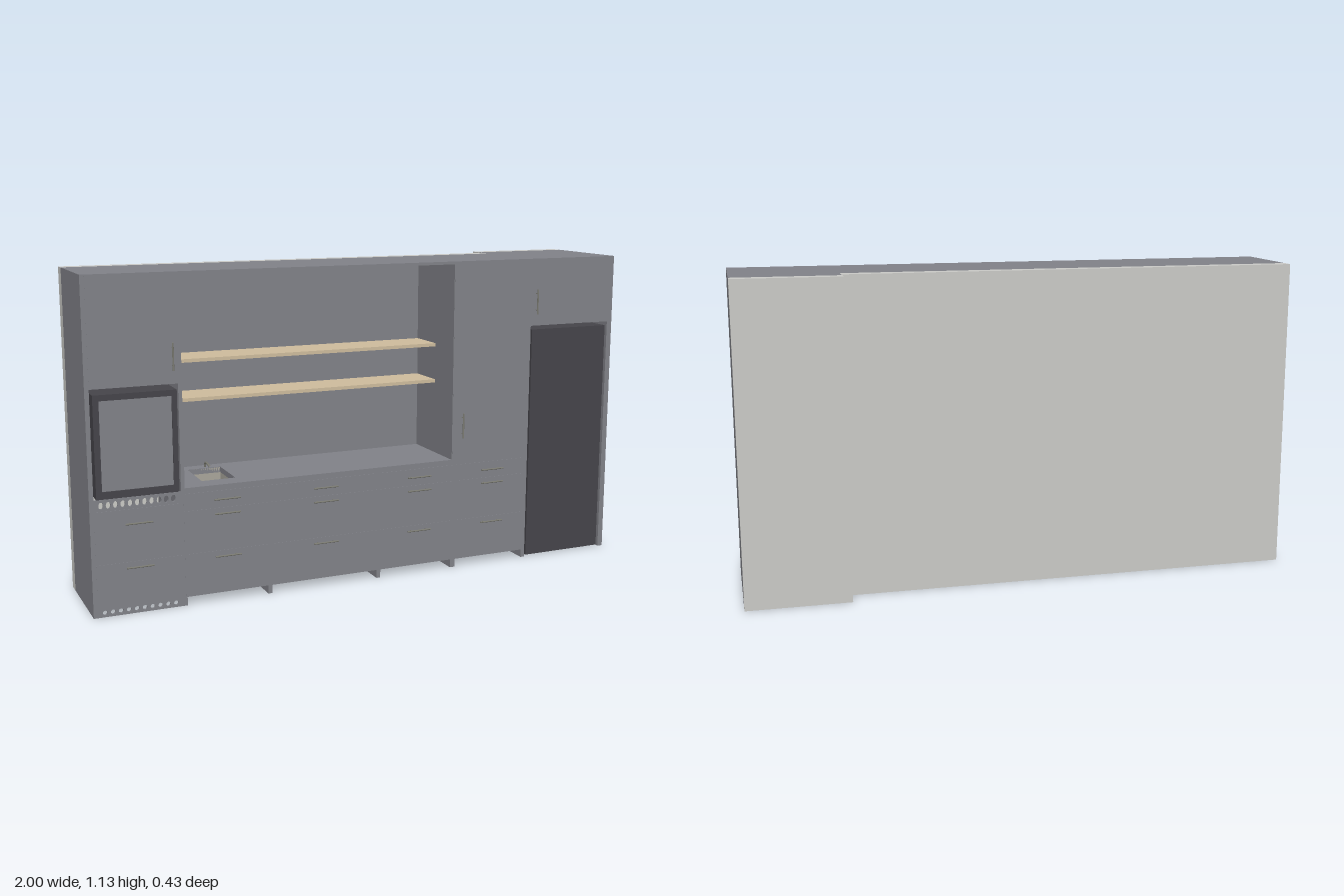
import * as THREE from 'three';

const mat = (name, color) => {
  const m = new THREE.MeshStandardMaterial({ color });
  m.name = name;
  return m;
};

export function createModel() {
  const model = new THREE.Group();
  model.name = 'kitchenWallUnit';
  const gray = mat('cabinet gray', 0x808187);
  const wall = mat('wall white', 0xc9c9c5);
  const dark = mat('appliance dark', 0x454449);
  const wood = mat('shelf wood', 0xcdbb9c);
  const metal = mat('handle metal', 0x7b7b72);
  const steel = mat('sink steel', 0xa8a59a);

  const add = (name, geo, material) => {
    const mesh = new THREE.Mesh(geo, material);
    mesh.name = name;
    model.add(mesh);
    return mesh;
  };
  // box given by its bounds
  const box = (name, m, x0, x1, y0, y1, z0, z1) =>
    add(name, new THREE.BoxGeometry(x1 - x0, y1 - y0, z1 - z0), m)
      .position.set((x0 + x1) / 2, (y0 + y1) / 2, (z0 + z1) / 2);
  const rect = (x0, x1, y0, y1, Type = THREE.Shape) => new Type([
    new THREE.Vector2(x0, y0), new THREE.Vector2(x1, y0),
    new THREE.Vector2(x1, y1), new THREE.Vector2(x0, y1)]);
  const plate = (shape, depth) =>
    new THREE.ExtrudeGeometry(shape, { depth, bevelEnabled: false, curveSegments: 6 });

  const H = 1.13, F = 0.2, B = -0.1, TB = -0.17;

  // walls behind the low and the deep section
  box('backWall', wall, -1, 0.63, 0, H, B - 0.045, B);
  box('deepBackWall', wall, 0.63, 1, 0, H, TB - 0.045, TB);

  // outer sides, top and tall dividers
  box('rightEndPanel', gray, -1, -0.985, 0, H, B, F);
  box('leftEndPanel', gray, 0.98, 1, 0, H, TB, F);
  box('topPanel', gray, -0.985, 0.63, 1.12, H, B, F);
  box('fridgeTopPanel', gray, 0.63, 0.98, 1.12, H, TB, F);
  box('ovenDivider', gray, -0.693, -0.68, 0, 1.12, B, F);
  box('nicheDivider', gray, 0.325, 0.345, 0, 1.12, B, F);
  box('fridgeDivider', gray, 0.63, 0.645, 0, 1.12, B, F);
  box('fridgeRearDivider', gray, 0.63, 0.645, 0.885, 1.12, TB, B);

  // niche: back panel, worktop with sink cutout, shelves
  box('nicheBack', gray, -0.68, 0.63, 0, 1.12, B, -0.085);
  const top = rect(-0.68, 0.325, -0.085, F);
  top.holes.push(rect(-0.6, -0.48, -0.04, 0.13, THREE.Path));
  const topGeo = plate(top, 0.02);
  topGeo.rotateX(Math.PI / 2);
  topGeo.translate(0, 0.41, 0);
  add('worktop', topGeo, gray);
  for (const y of [0.674, 0.809]) box('shelf', wood, -0.68, 0.325, y, y + 0.012, -0.085, 0.06);

  // sink basin and low tap
  box('sinkBottom', steel, -0.605, -0.475, 0.33, 0.335, -0.045, 0.135);
  for (const x of [-0.605, -0.48]) box('sinkSide', steel, x, x + 0.005, 0.335, 0.408, -0.045, 0.135);
  for (const z of [-0.045, 0.13]) box('sinkEnd', steel, -0.6, -0.48, 0.335, 0.408, z, z + 0.005);
  const spout = new THREE.CatmullRomCurve3([
    new THREE.Vector3(-0.53, 0.41, -0.06), new THREE.Vector3(-0.53, 0.426, -0.055),
    new THREE.Vector3(-0.53, 0.428, -0.03), new THREE.Vector3(-0.53, 0.422, 0)]);
  add('tap', new THREE.TubeGeometry(spout, 12, 0.004, 8), metal);

  // base units: dividers reaching the floor, drawer fronts, drawer boxes
  for (const x of [-0.39, 0.025]) box('baseDivider', gray, x, x + 0.015, 0, 0.39, -0.085, F);
  const columns = [[-0.985, -0.693], [-0.685, -0.3825], [-0.3825, 0.0325], [0.0325, 0.335], [0.335, 0.6375]];
  columns.forEach(([x0, x1], i) => {
    const rows = i ? [0.03, 0.18, 0.33, 0.39] : [0.03, 0.18, 0.36];
    for (let r = 0; r + 1 < rows.length; r++)
      box('drawerFront', gray, x0, x1, rows[r], rows[r + 1] - 0.0005, F - 0.012, F + 0.0003);
    const a = x0 + 0.025, b = x1 - 0.025;
    box('drawerBottom', gray, a, b, 0.055, 0.06, -0.06, 0.17);
    for (const x of [a, b - 0.01]) box('drawerSide', wood, x, x + 0.01, 0.035, 0.13, -0.06, 0.17);
    for (const z of [-0.06, 0.16]) box('drawerEnd', wood, a + 0.01, b - 0.01, 0.035, 0.13, z, z + 0.01);
  });

  // oven bay: toe grille, vent strip, oven and the door above
  const grille = (name, y0, y1, count, w, h) => {
    const s = rect(-0.985, -0.693, y0, y1);
    const cy = (y0 + y1) / 2;
    for (let i = 0; i < count; i++) {
      const hole = new THREE.Path();
      hole.absellipse(-0.962 + i * 0.242 / (count - 1), cy, w, h, 0, Math.PI * 2, true);
      s.holes.push(hole);
    }
    add(name, plate(s, 0.008), gray).position.z = F - 0.008;
  };
  grille('toeGrille', 0, 0.03, 10, 0.008, 0.008);
  grille('ovenVent', 0.36, 0.4, 11, 0.008, 0.012);
  box('ovenBody', dark, -0.975, -0.697, 0.4, 0.745, -0.09, 0.185);
  const frame = rect(-0.975, -0.697, 0.4, 0.745);
  frame.holes.push(rect(-0.955, -0.715, 0.425, 0.725, THREE.Path));
  add('ovenFrame', plate(frame, 0.012), dark).position.z = 0.185;
  box('ovenWindow', gray, -0.955, -0.715, 0.425, 0.725, 0.185, 0.194);
  box('ovenCabinetFloor', gray, -0.985, -0.693, 0.765, 0.775, B, 0.188);
  box('ovenCabinetDoor', gray, -0.985, -0.68, 0.765, H, 0.188, F + 0.0003);

  // tall cabinet beside the niche
  box('tallCabinetFloor', gray, 0.345, 0.63, 0.39, 0.41, -0.085, 0.188);
  box('tallCabinetDoor', gray, 0.327, 0.6375, 0.39, H, 0.188, F + 0.0003);

  // fridge bay
  box('fridge', dark, 0.655, 0.975, 0.004, 0.87, -0.16, 0.194);
  box('fridgeCabinetFloor', gray, 0.645, 0.98, 0.885, 0.895, TB, 0.188);
  box('fridgeCabinetDoor', gray, 0.6375, 0.985, 0.885, H, 0.188, F + 0.0003);

  // bar handles on two posts
  const handle = (x, y, vertical) => {
    const g = new THREE.Group();
    g.name = 'handle';
    const bar = new THREE.Mesh(new THREE.CylinderGeometry(0.003, 0.003, 0.092, 8), metal);
    bar.position.z = 0.012;
    g.add(bar);
    for (const s of [-1, 1]) {
      const post = new THREE.Mesh(new THREE.CylinderGeometry(0.002, 0.002, 0.012, 6), metal);
      post.rotation.x = Math.PI / 2;
      post.position.set(0, s * 0.03, 0.006);
      g.add(post);
    }
    if (!vertical) g.rotation.z = Math.PI / 2;
    g.position.set(x, y, F);
    model.add(g);
  };
  [-0.84, -0.535, -0.175, 0.19, 0.49].forEach((x, i) => {
    for (const y of i ? [0.162, 0.312, 0.362] : [0.162, 0.312]) handle(x, y, false);
  });
  handle(-0.71, 0.856, true);
  handle(0.365, 0.535, true);
  handle(0.665, 0.973, true);

  return model;
}
